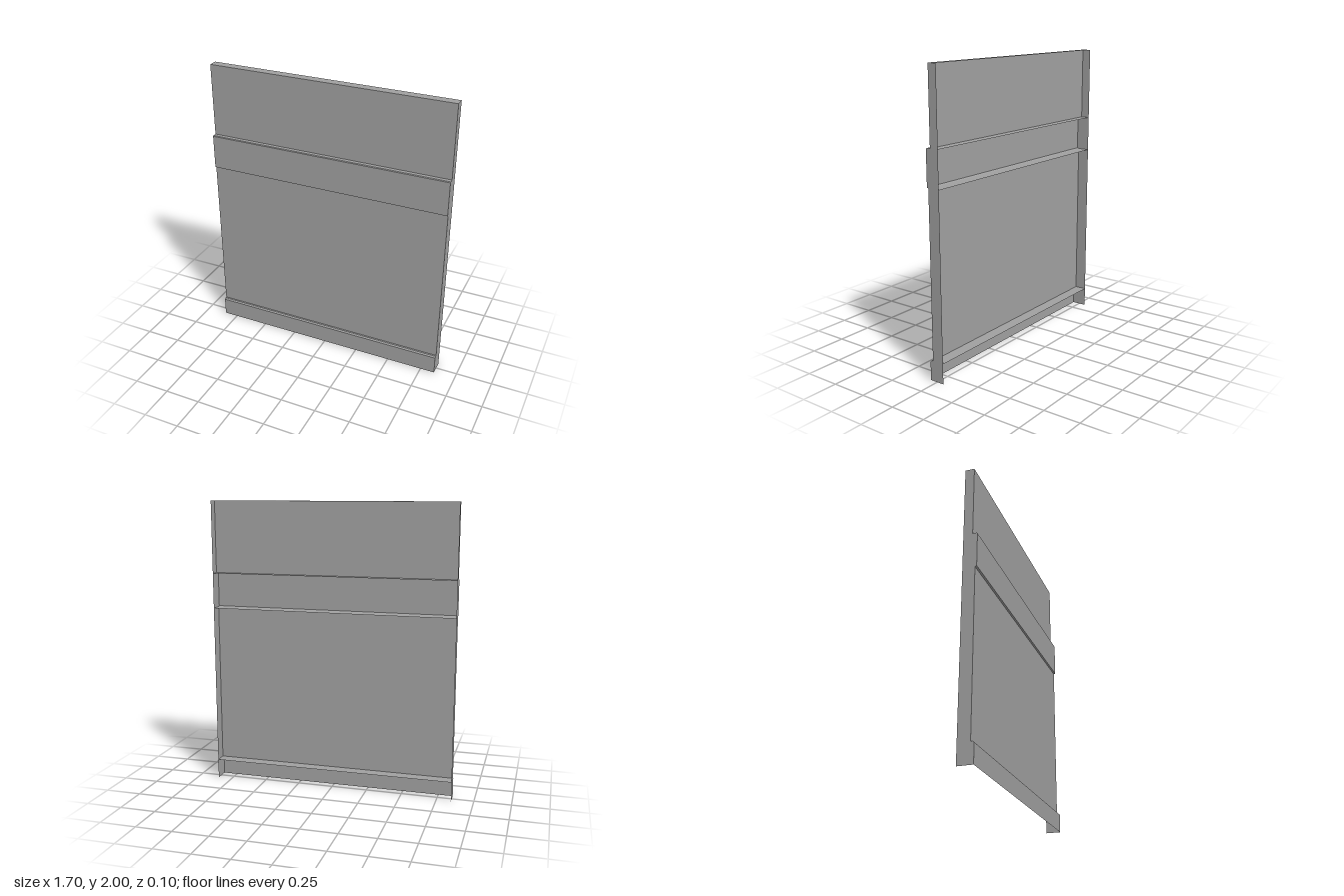
import * as THREE from 'three';

const HALF = 0.85; // half width
const BACK = -0.052;

export function createModel() {
  const group = new THREE.Group();
  const grey = new THREE.MeshStandardMaterial({ color: 0xa0a0a0, side: THREE.DoubleSide });
  grey.name = 'plain grey';

  const add = (geometry, name) => {
    const mesh = new THREE.Mesh(geometry, grey);
    mesh.name = name;
    group.add(mesh);
    return mesh;
  };

  // Sweeps a [z, y] profile across the full width as flat faces
  const sheet = (profile, name) => {
    const p = [];
    for (let i = 0; i < profile.length - 1; i++) {
      const [za, ya] = profile[i], [zb, yb] = profile[i + 1];
      p.push(-HALF, ya, za, -HALF, yb, zb, HALF, yb, zb);
      p.push(-HALF, ya, za, HALF, yb, zb, HALF, ya, za);
    }
    const g = new THREE.BufferGeometry();
    g.setAttribute('position', new THREE.Float32BufferAttribute(p, 3));
    g.computeVertexNormals();
    return add(g, name);
  };

  // Front faces, from top to bottom
  const upper = [[0.01, 2], [0.01, 1.5]];
  const band = [[0.01, 1.5], [0.037, 1.5], [0.042, 1.495], [0.042, 1.26], [0.031, 1.255]];
  const lower = [[0.031, 1.255], [0.031, 0.137]];
  const plinth = [[0.031, 0.137], [0.043, 0.137], [0.052, 0.128], [0.052, 0]];
  sheet(upper, 'upperPanel');
  sheet(band, 'raisedBand');
  sheet(lower, 'lowerPanel');
  sheet(plinth, 'plinth');

  // Top cap and the thin horizontal webs behind the panels
  sheet([[BACK, 2], [0.01, 2]], 'topCap');
  sheet([[BACK, 1.5], [0.01, 1.5]], 'upperWeb');
  sheet([[BACK, 1.255], [0.031, 1.255]], 'middleWeb');
  sheet([[BACK, 0.137], [0.031, 0.137]], 'lowerWeb');

  // End walls follow the stepped front; the back and underside stay open
  const outline = [...upper, ...band, ...lower, ...plinth, [BACK, 0], [BACK, 2]];
  const unique = outline.filter((q, i) => i === 0 || q[0] !== outline[i - 1][0] || q[1] !== outline[i - 1][1]);
  for (const side of [1, -1]) {
    const shape = new THREE.Shape(unique.map(([z, y]) => new THREE.Vector2(-side * z, y)));
    const g = new THREE.ShapeGeometry(shape);
    g.rotateY(side * Math.PI / 2);
    g.translate(side * HALF, 0, 0);
    add(g, side > 0 ? 'leftEndWall' : 'rightEndWall');
  }
  return group;
}
